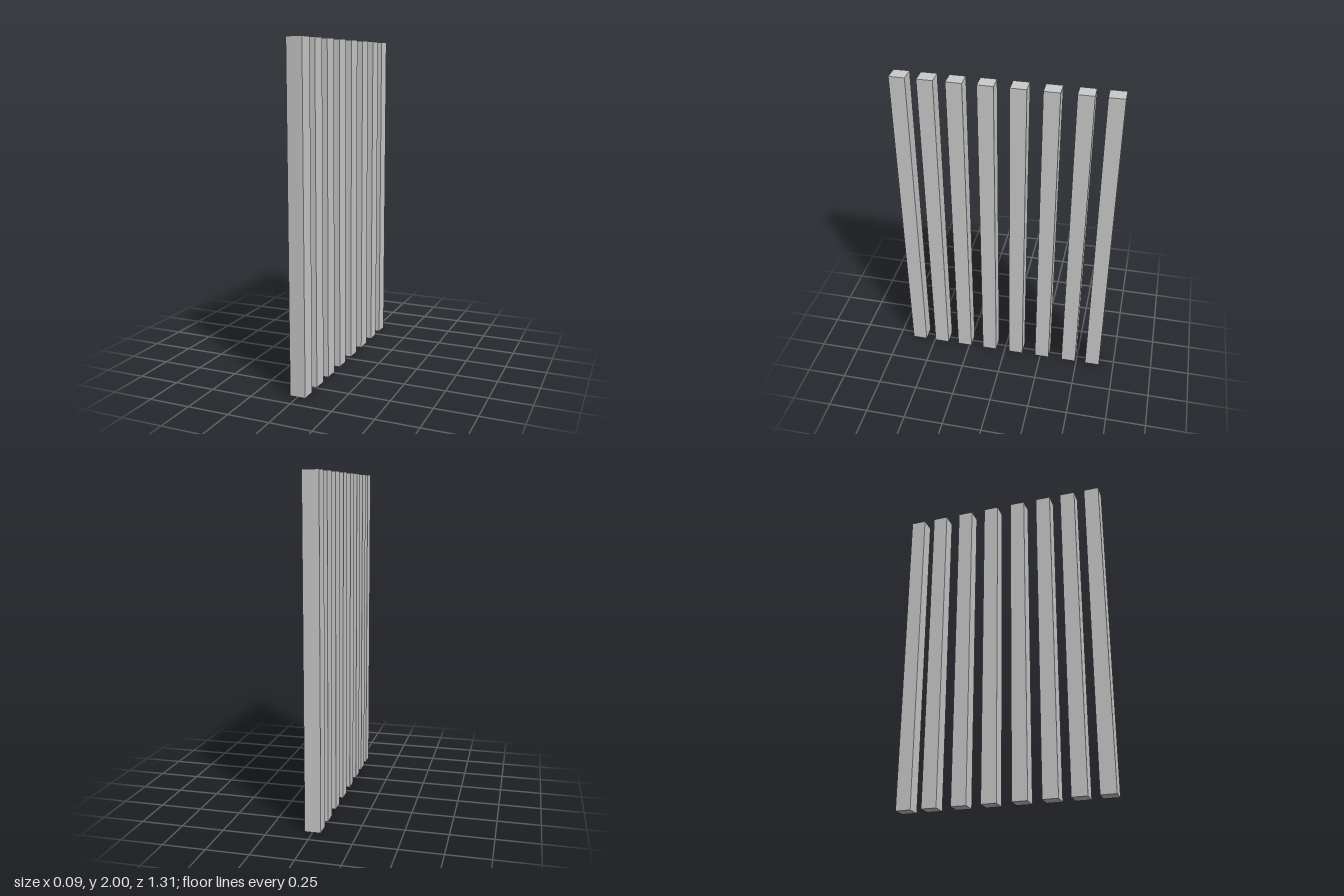
import * as THREE from 'three';

export function createModel() {
  const group = new THREE.Group();
  group.name = 'slatScreen';
  const material = new THREE.MeshStandardMaterial({ color: 0xcccccc, flatShading: true });

  // Square upright slats in one row, slightly unevenly spaced from back to front
  const width = 0.094, height = 2;
  const slatGeometry = new THREE.BoxGeometry(width, height, width);
  const slatZ = [-0.608, -0.445, -0.261, -0.078, 0.106, 0.283, 0.448, 0.608];

  slatZ.forEach((z, i) => {
    const slat = new THREE.Mesh(slatGeometry, material);
    slat.name = `slat${i + 1}`;
    slat.position.set(0, height / 2, z);
    group.add(slat);
  });

  return group;
}
